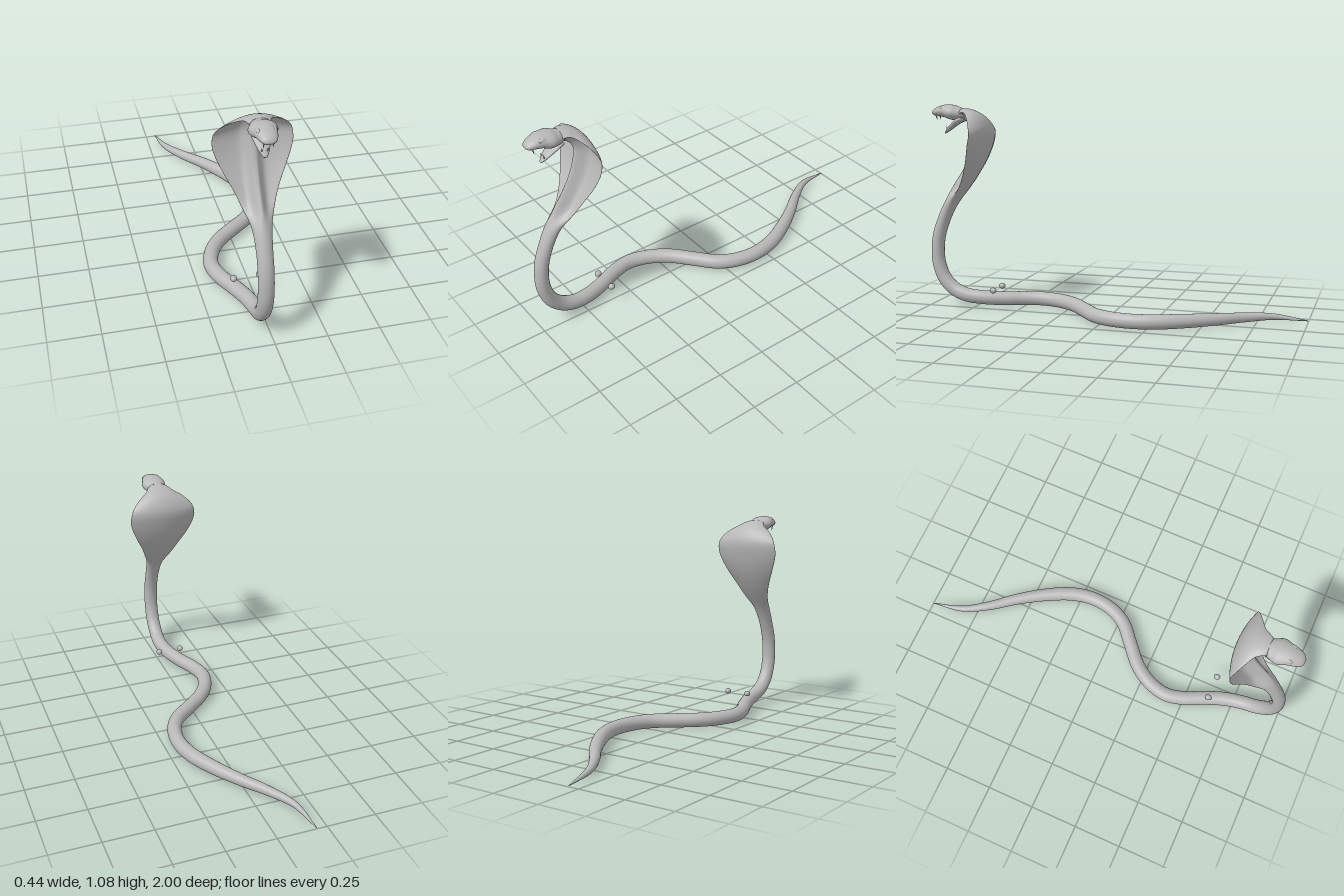
import * as THREE from 'three';

const MID = -0.0385; // x of the raised body and head

// Smooth closed skin through a list of rings, with fan caps at both ends
function loft(rings) {
  const n = rings[0].length, m = rings.length, pos = [], idx = [];
  rings.forEach(r => r.forEach(p => pos.push(p.x, p.y, p.z)));
  for (let i = 0; i < m - 1; i++) for (let j = 0; j < n; j++) {
    const a = i * n + j, b = i * n + (j + 1) % n;
    idx.push(a, a + n, b, b, a + n, b + n);
  }
  [0, m - 1].forEach((i, end) => {
    const c = new THREE.Vector3();
    rings[i].forEach(p => c.addScaledVector(p, 1 / n));
    pos.push(c.x, c.y, c.z);
    for (let j = 0; j < n; j++) {
      const a = i * n + j, b = i * n + (j + 1) % n;
      end ? idx.push(m * n + end, b, a) : idx.push(m * n + end, a, b);
    }
  });
  const g = new THREE.BufferGeometry();
  g.setAttribute('position', new THREE.Float32BufferAttribute(pos, 3));
  g.setIndex(idx);
  g.computeVertexNormals();
  return g;
}

// Sweep a section along keys of [x, y, z, depth radius, half width, curl]
function sweep(keys, section, steps, sides) {
  const path = new THREE.CatmullRomCurve3(keys.map(k => new THREE.Vector3(k[0], k[1], k[2])));
  const size = new THREE.CatmullRomCurve3(
    keys.map(k => new THREE.Vector3(k[3], k[4] ?? k[3], k[5] ?? 0)), false, 'catmullrom', 0.5);
  const rings = [];
  for (let i = 0; i <= steps; i++) {
    const c = path.getPoint(i / steps), t = path.getTangent(i / steps), d = size.getPoint(i / steps);
    const side = new THREE.Vector3(1, 0, 0).addScaledVector(t, -t.x).normalize();
    const belly = new THREE.Vector3().crossVectors(side, t);
    const ring = [];
    for (let j = 0; j < sides; j++) {
      const [s, n] = section(j / sides * Math.PI * 2, d.x, d.y, d.z);
      ring.push(c.clone().addScaledVector(side, s).addScaledVector(belly, n));
    }
    rings.push(ring);
  }
  return loft(rings);
}

const oval = (a, r, w) => [w * Math.cos(a), r * Math.sin(a)];

// Round where narrow; a thin curved sheet with a raised belly where the hood spreads
function hoodSection(a, r, w, curl) {
  const u = Math.cos(a), v = Math.sin(a), s = u * w;
  const h = THREE.MathUtils.smoothstep((w - r) / r, 0.05, 1.6);
  let sheet = -r + curl * u * u + 0.007 * v;
  if (v > 0) sheet += 1.9 * r * v * Math.exp(-((s / (0.85 * r)) ** 2));
  return [s, THREE.MathUtils.lerp(r * v, sheet, h)];
}

export function createModel() {
  const group = new THREE.Group();
  group.name = 'cobra';
  const grey = new THREE.MeshStandardMaterial({ color: 0xb8b8b8 });
  grey.name = 'plain grey';
  const add = (name, geo, x = 0, y = 0, z = 0) => {
    const mesh = new THREE.Mesh(geo, grey);
    mesh.name = name;
    mesh.position.set(x, y, z);
    group.add(mesh);
    return mesh;
  };

  // Tail on the ground: [x, y, z, radius]
  const tail = [
    [-0.197, 0.008, -0.998, 0.002], [-0.165, 0.026, -0.83, 0.016], [-0.09, 0.031, -0.7, 0.024],
    [0.01, 0.036, -0.57, 0.03], [0.1, 0.039, -0.43, 0.035], [0.162, 0.04, -0.3, 0.037],
    [0.185, 0.04, -0.18, 0.037], [0.168, 0.04, -0.06, 0.037], [0.12, 0.04, 0.03, 0.037],
    [0.025, 0.04, 0.115, 0.037], [-0.07, 0.04, 0.2, 0.037], [-0.13, 0.04, 0.29, 0.037],
    [-0.16, 0.04, 0.4, 0.037], [-0.14, 0.041, 0.5, 0.037], [-0.095, 0.044, 0.6, 0.037],
    [-0.055, 0.051, 0.71, 0.037]];
  // Raised body and hood: [y, z, radius, half width, curl]
  const raised = [
    [0.064, 0.805, 0.037, 0.037], [0.094, 0.876, 0.037, 0.037], [0.15, 0.93, 0.036, 0.037],
    [0.23, 0.96, 0.035, 0.037], [0.31, 0.965, 0.034, 0.037], [0.39, 0.954, 0.034, 0.037],
    [0.48, 0.922, 0.033, 0.038], [0.57, 0.877, 0.033, 0.047], [0.64, 0.833, 0.033, 0.072, 0.01],
    [0.71, 0.785, 0.033, 0.103, 0.018], [0.8, 0.736, 0.033, 0.15, 0.026],
    [0.88, 0.709, 0.033, 0.18, 0.03], [0.94, 0.7, 0.033, 0.177, 0.03],
    [0.98, 0.713, 0.031, 0.153, 0.03], [1.007, 0.735, 0.029, 0.118, 0.025],
    [1.025, 0.767, 0.027, 0.072, 0.015], [1.034, 0.81, 0.027, 0.045]];
  add('bodyAndHood', sweep([...tail, ...raised.map(k => [MID, ...k])], hoodSection, 260, 72));

  // Skull and upper jaw
  const skull = [
    [1.034, 0.79, 0.026, 0.036], [1.036, 0.83, 0.034, 0.056], [1.041, 0.86, 0.039, 0.064],
    [1.048, 0.9, 0.034, 0.052], [1.045, 0.94, 0.025, 0.042], [1.039, 0.965, 0.016, 0.03],
    [1.037, 0.975, 0.006, 0.014]];
  add('head', sweep(skull.map(k => [MID, ...k]), oval, 40, 32));

  // Dropped lower jaw
  const jaw = [
    [1.012, 0.8, 0.018, 0.04], [0.996, 0.832, 0.016, 0.043], [0.972, 0.862, 0.012, 0.033],
    [0.95, 0.887, 0.009, 0.022], [0.932, 0.906, 0.004, 0.008]];
  add('lowerJaw', sweep(jaw.map(k => [MID, ...k]), oval, 24, 24));

  for (const s of [-1, 1]) {
    // Brow ridges, upper fangs and lower teeth
    add('brow', new THREE.SphereGeometry(1, 20, 14), MID + s * 0.034, 1.062, 0.9).scale.set(0.013, 0.012, 0.026);
    const fang = add('upperFang', new THREE.ConeGeometry(0.005, 0.034, 12), MID + s * 0.021, 1.013, 0.945);
    fang.rotation.x = Math.PI + 0.25;
    const tooth = add('lowerTooth', new THREE.ConeGeometry(0.004, 0.022, 12), MID + s * 0.013, 0.962, 0.893);
    tooth.rotation.x = 0.3;
    // Loose eyeballs hovering beside the body
    add('eye', new THREE.SphereGeometry(1, 24, 16), MID + s * 0.0625, 0.11, 0.623).scale.set(0.0155, 0.015, 0.018);
  }
  return group;
}
